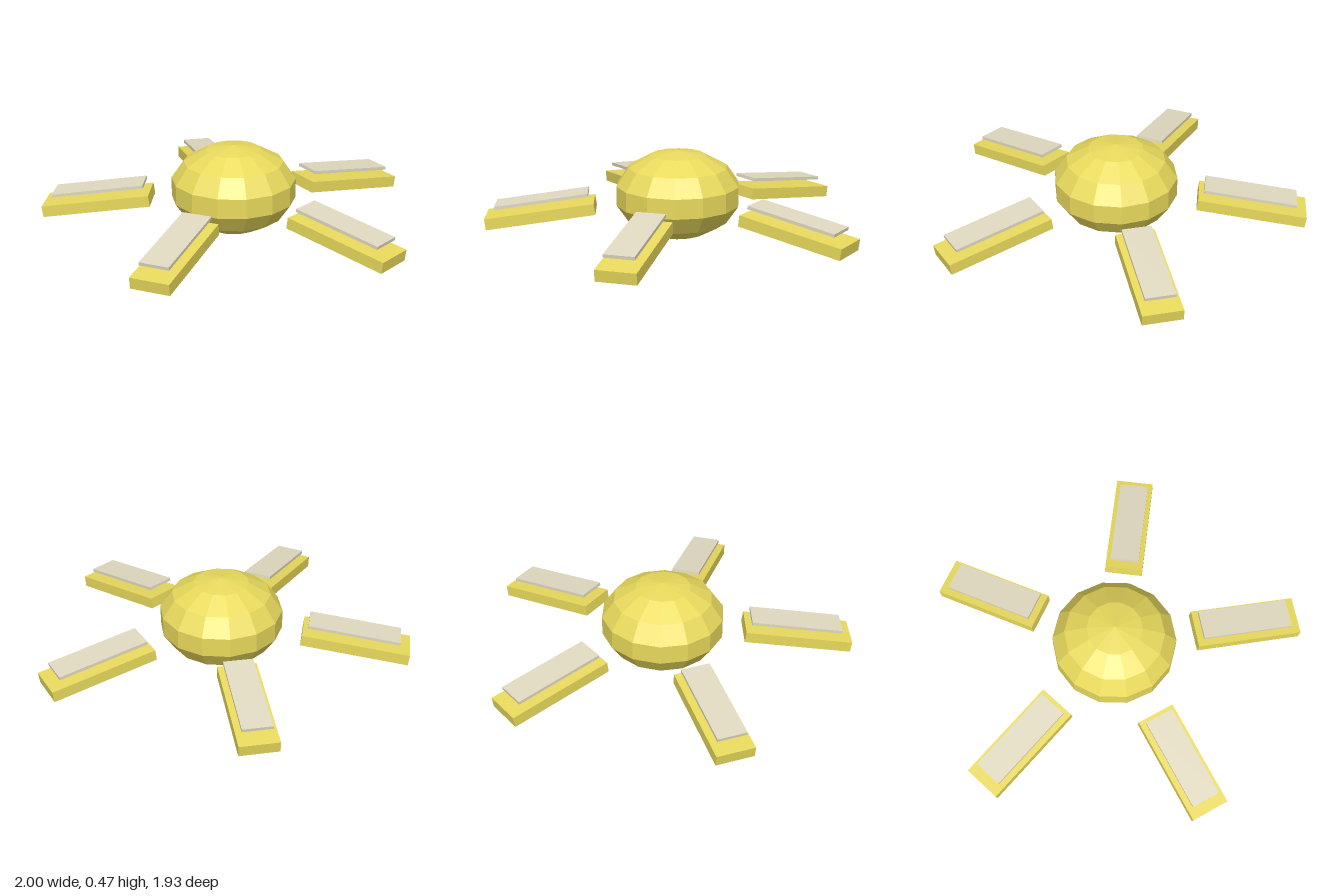
import * as THREE from 'three';

const yellow = new THREE.MeshStandardMaterial({ color: 0xe8d95c, flatShading: true });
const cream = new THREE.MeshStandardMaterial({ color: 0xe0d9c0, flatShading: true });

const ARMS = 5;
const FIRST_ANGLE = THREE.MathUtils.degToRad(20.2);
const TILT = -0.135; // arms slope down and outward

function slab(name, size, radius, height, material) {
  const mesh = new THREE.Mesh(new THREE.BoxGeometry(...size), material);
  mesh.name = name;
  mesh.position.set(radius, height, 0);
  mesh.rotation.z = TILT;
  return mesh;
}

export function createModel() {
  const model = new THREE.Group();
  model.name = 'armedDome';
  model.position.set(0.003, 0, 0.057);

  // Faceted, flattened central body with a vertex line facing the front
  const body = new THREE.Mesh(new THREE.SphereGeometry(1, 14, 7), yellow);
  body.name = 'body';
  body.scale.set(0.338, 0.235, 0.338);
  body.position.y = 0.235;
  body.rotation.y = Math.PI / 2;
  model.add(body);

  // Five detached arms, each with a thin panel hovering above it
  for (let i = 0; i < ARMS; i++) {
    const arm = new THREE.Group();
    arm.name = `arm${i + 1}`;
    arm.rotation.y = FIRST_ANGLE + (i * Math.PI * 2) / ARMS;
    arm.add(slab('armBeam', [0.58, 0.06, 0.205], 0.728, 0.139, yellow));
    arm.add(slab('armPanel', [0.495, 0.017, 0.155], 0.721, 0.215, cream));
    model.add(arm);
  }

  const root = new THREE.Group();
  root.add(model);
  return root;
}
